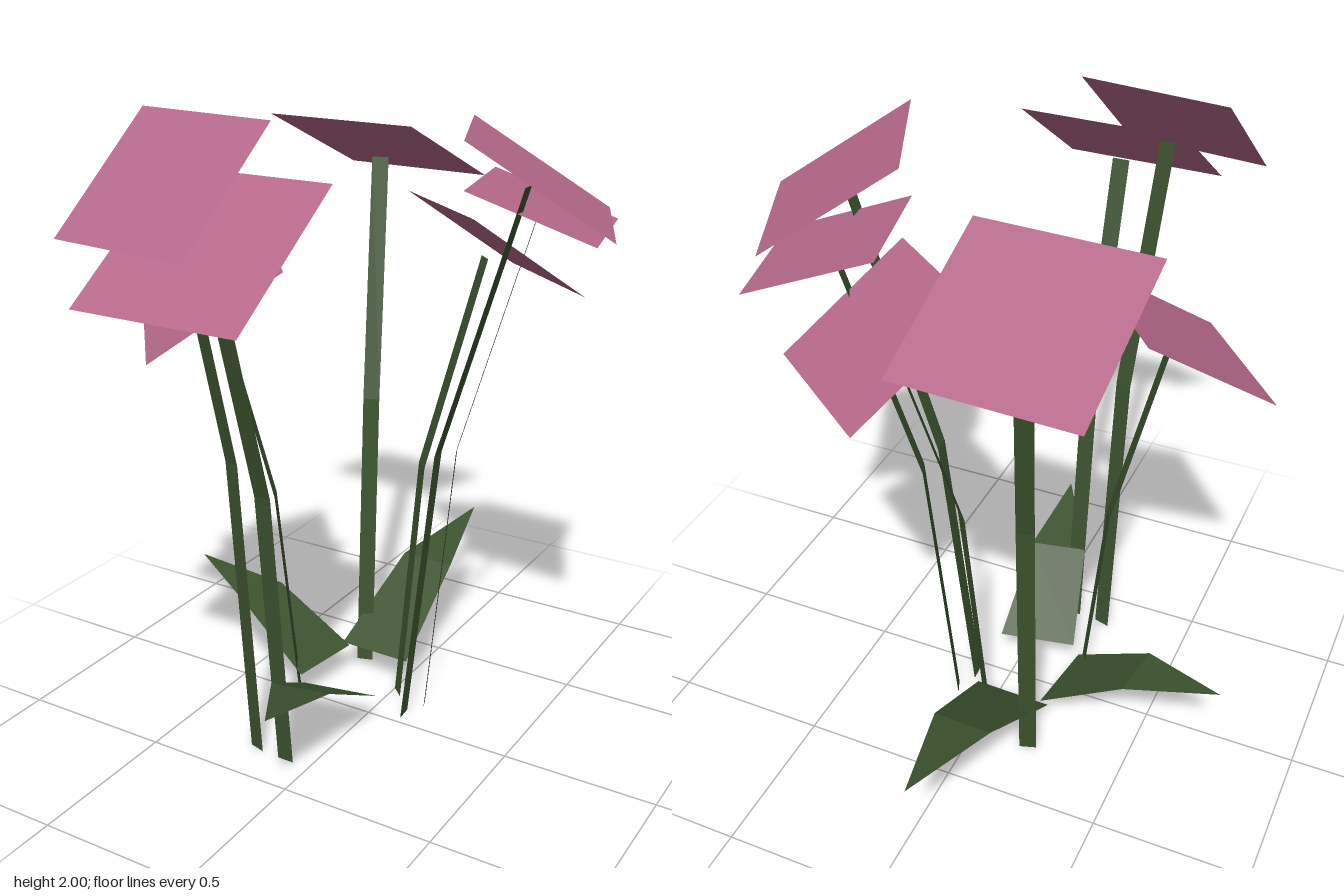
import * as THREE from 'three';

const pink = new THREE.MeshStandardMaterial({ color: 0xb5688b, side: THREE.DoubleSide });
pink.name = 'petalPink';
const green = new THREE.MeshStandardMaterial({ color: 0x3c532f, side: THREE.DoubleSide });
green.name = 'stemGreen';

const V = (a) => new THREE.Vector3(...a);

// Flat-faced ribbon joining successive [left, right] cross-sections
function ribbon(name, rows, material) {
  const pos = [];
  for (let i = 0; i + 1 < rows.length; i++) {
    const [a, b] = rows[i], [d, c] = rows[i + 1];
    for (const p of [a, b, c, a, c, d]) pos.push(p.x, p.y, p.z);
  }
  const g = new THREE.BufferGeometry();
  g.setAttribute('position', new THREE.Float32BufferAttribute(pos, 3));
  g.computeVertexNormals();
  const mesh = new THREE.Mesh(g, material);
  mesh.name = name;
  return mesh;
}

// Horizontal unit vector at right angles to a direction
const sideways = (v) => new THREE.Vector3(v.z, 0, -v.x).normalize();

// Cross-section of a given width around a centre point
const section = (p, side, width) => [
  p.clone().addScaledVector(side, -width / 2),
  p.clone().addScaledVector(side, width / 2),
];

// Each plant: square bloom (centre, edge running downhill) and stem points
const plants = [
  { centre: [-0.275, 1.78, -0.54], fall: [0.02, -0.22, -0.48],
    stem: [[-0.19, 0, -0.295], [-0.205, 0.96, -0.365], [-0.262, 1.745, -0.52]] },
  { centre: [0.5, 1.82, -0.09], fall: [0.37, -0.26, -0.16],
    stem: [[0.105, 0, -0.052], [0.212, 0.95, -0.058], [0.468, 1.79, -0.078]] },
  { centre: [0.435, 1.702, -0.264], fall: [0.372, -0.136, -0.086],
    stem: [[0.135, 0, -0.14], [0.222, 0.93, -0.165], [0.42, 1.665, -0.255]] },
  { centre: [0.22, 1.54, -0.395], fall: [0.232, -0.27, -0.305],
    stem: [[0.02, 0, -0.16], [0.072, 0.83, -0.215], [0.205, 1.5, -0.36]] },
  { centre: [-0.47, 1.4, 0.157], fall: [-0.31, -0.26, 0.26],
    stem: [[-0.24, 0, 0.04], [-0.305, 0.75, 0.07], [-0.44, 1.36, 0.145]] },
  { centre: [-0.085, 1.71, 0.69], fall: [-0.004, -0.3, 0.428],
    stem: [[-0.085, 0, 0.37], [-0.085, 0.93, 0.455], [-0.085, 1.67, 0.66]] },
  { centre: [-0.275, 1.845, 0.6], fall: [-0.04, -0.31, 0.347],
    stem: [[-0.2, 0, 0.36], [-0.212, 1.0, 0.425], [-0.262, 1.81, 0.575]] },
];

// Each leaf: base, shoulder and tip along its midrib
const leaves = [
  [[-0.205, 0.11, -0.06], [-0.48, 0.28, -0.092], [-0.77, 0.337, -0.14]],
  [[-0.09, 0.11, -0.19], [-0.08, 0.315, -0.55], [-0.072, 0.385, -0.91]],
  [[-0.065, 0.11, 0.078], [-0.018, 0.285, 0.38], [0.05, 0.348, 0.665]],
];

export function createModel() {
  const model = new THREE.Group();
  model.name = 'flowerCluster';

  for (const { centre, fall, stem } of plants) {
    const plant = new THREE.Group();
    plant.name = 'flower';

    // Square bloom
    const down = V(fall), across = sideways(down), size = down.length();
    const ends = [-0.5, 0.5].map((k) => V(centre).addScaledVector(down, k));
    plant.add(ribbon('bloom', ends.map((p) => section(p, across, size)), pink));

    // Flat bent stem, its width across the lean
    const pts = stem.map(V);
    const side = sideways(pts[2].clone().sub(pts[0]));
    plant.add(ribbon('stem', pts.map((p) => section(p, side, 0.055)), green));
    model.add(plant);
  }

  // Pointed ground leaves
  for (const midrib of leaves) {
    const pts = midrib.map(V);
    const side = sideways(pts[2].clone().sub(pts[0]));
    const widths = [0.255, 0.19, 0];
    model.add(ribbon('leaf', pts.map((p, i) => section(p, side, widths[i])), green));
  }
  return model;
}
